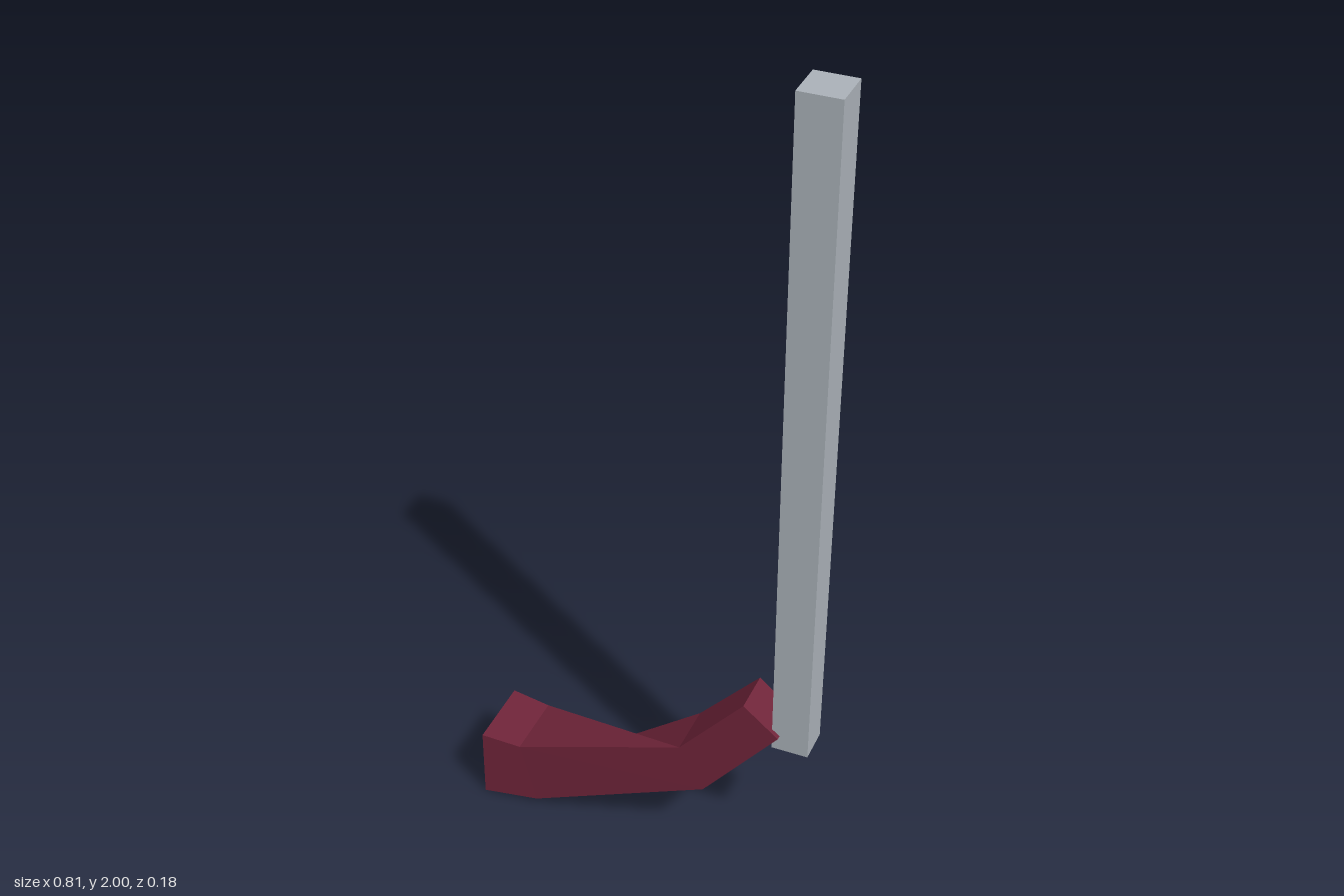
import * as THREE from 'three';

const grey = new THREE.MeshStandardMaterial({ color: 0xabb2b9 });
grey.name = 'steel grey';
const maroon = new THREE.MeshStandardMaterial({ color: 0x6f2439, side: THREE.DoubleSide });
maroon.name = 'maroon';

// Four corners of a cross-section: top front, top back, bottom back, bottom front
const ring = ([tx, ty], [bx, by], z) => [[tx, ty, z], [tx, ty, -z], [bx, by, -z], [bx, by, z]];

// Flat-shaded mesh from a list of triangles
function facets(name, triangles) {
  const geometry = new THREE.BufferGeometry();
  geometry.setAttribute('position', new THREE.Float32BufferAttribute(triangles.flat(2), 3));
  geometry.computeVertexNormals();
  const mesh = new THREE.Mesh(geometry, maroon);
  mesh.name = name;
  return mesh;
}

// Straight walls between two sections
function walls(p, q) {
  const out = [];
  for (let i = 0; i < 4; i++) {
    const j = (i + 1) % 4;
    out.push([p[i], q[i], q[j]], [p[i], q[j], p[j]]);
  }
  return out;
}

export function createModel() {
  const model = new THREE.Group();
  model.name = 'bladeWithGrip';

  // Blade: a square bar, slightly narrower at the lower end
  const bladeGeometry = new THREE.BoxGeometry(0.096, 1.64, 0.096);
  const pos = bladeGeometry.attributes.position;
  for (let i = 0; i < pos.count; i++) {
    if (pos.getY(i) < 0) {
      pos.setX(i, pos.getX(i) * 0.9);
      pos.setZ(i, pos.getZ(i) * 0.87);
    }
  }
  bladeGeometry.computeVertexNormals();
  const blade = new THREE.Mesh(bladeGeometry, grey);
  blade.name = 'blade';
  blade.position.set(0.355, 1.18, 0);
  model.add(blade);

  // Grip cross-sections from the butt to the blade
  const a = ring([-0.405, 0.18], [-0.405, 0], 0.088);
  const b = ring([-0.31, 0.17], [-0.27, 0.015], 0.081);
  const c = ring([0.095, 0.3], [0.155, 0.19], 0.064);
  const d = ring([0.245, 0.47], [0.33, 0.4], 0.053);

  // Butt with its end face
  model.add(facets('gripButt', [...walls(a, b), [a[0], a[1], a[2]], [a[0], a[2], a[3]]]));

  // Middle: full on the front, folded inwards along the back
  const [b0, b1, b2, b3] = b;
  const [c0, c1, c2, c3] = c;
  model.add(facets('gripMiddle', [
    [b0, b3, c3], [b0, c3, c0],
    [b0, c0, b1],
    [b1, c0, b2], [b2, c0, c1],
    [b2, c1, b3], [b3, c1, c2], [b3, c2, c3],
  ]));

  // Neck with its end face
  model.add(facets('gripNeck', [...walls(c, d), [d[0], d[2], d[1]], [d[0], d[3], d[2]]]));

  return model;
}
